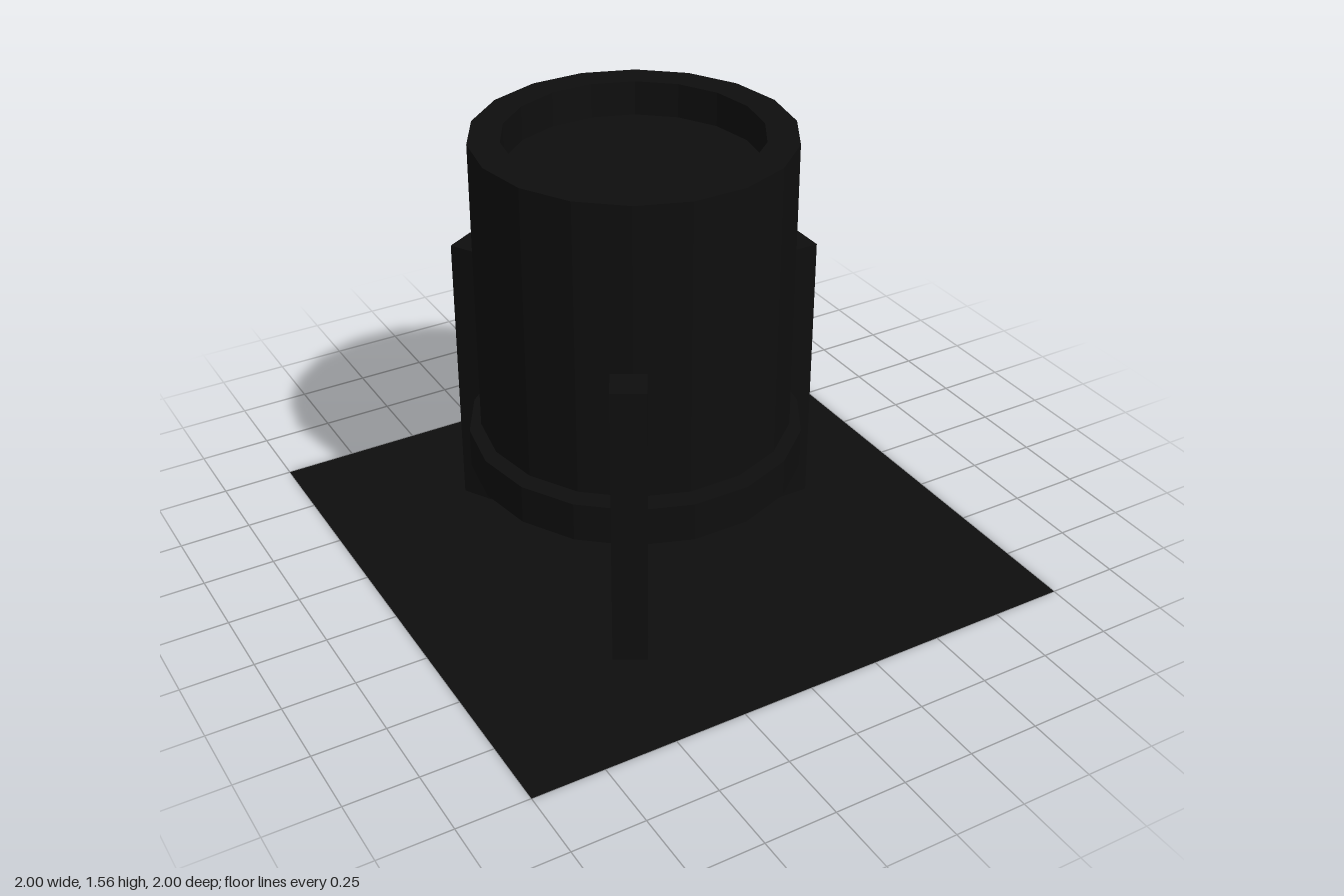
import * as THREE from 'three';

const SIDES = 18;
const CENTRE_X = -0.075;

export function createModel() {
  const black = new THREE.MeshStandardMaterial({ color: 0x0e0e0e, flatShading: true });
  black.name = 'black';
  const floorBlack = new THREE.MeshStandardMaterial({ color: 0x0e0e0e, side: THREE.DoubleSide });
  floorBlack.name = 'floor black';

  const model = new THREE.Group();
  model.name = 'planterOnStand';
  const add = (parent, name, geometry, material = black) => {
    const mesh = new THREE.Mesh(geometry, material);
    mesh.name = name;
    parent.add(mesh);
    return mesh;
  };

  // Thin square floor
  add(model, 'floor', new THREE.PlaneGeometry(2, 2).rotateX(-Math.PI / 2), floorBlack);

  const planter = new THREE.Group();
  planter.name = 'planter';
  planter.position.x = CENTRE_X;
  model.add(planter);

  // Pot with a thick rim; facet corners lie on the x axis
  const profile = [[0, 0.53], [0.53, 0.53], [0.53, 1.56], [0.425, 1.56], [0.425, 1.44]]
    .map(([r, y]) => new THREE.Vector2(r, y));
  add(planter, 'pot', new THREE.LatheGeometry(profile, SIDES, Math.PI / 2));

  // Soil surface inside the rim
  const soil = add(planter, 'soil', new THREE.CircleGeometry(0.425, SIDES).rotateX(-Math.PI / 2));
  soil.position.y = 1.44;

  // Stand disc just below the pot
  const disc = add(planter, 'standDisc',
    new THREE.CylinderGeometry(0.57, 0.57, 0.137, SIDES, 1, false, Math.PI / 2));
  disc.position.y = 0.438;

  // Three square legs, each turned to face outwards
  for (const [x, z, turn] of [[0.628, 0, 0], [-0.328, 0.54, 1], [-0.328, -0.54, -1]]) {
    const leg = add(planter, 'leg', new THREE.BoxGeometry(0.116, 1.015, 0.116));
    leg.position.set(x, 0.5075, z);
    leg.rotation.y = -turn * Math.PI * 2 / 3;
  }

  return model;
}
